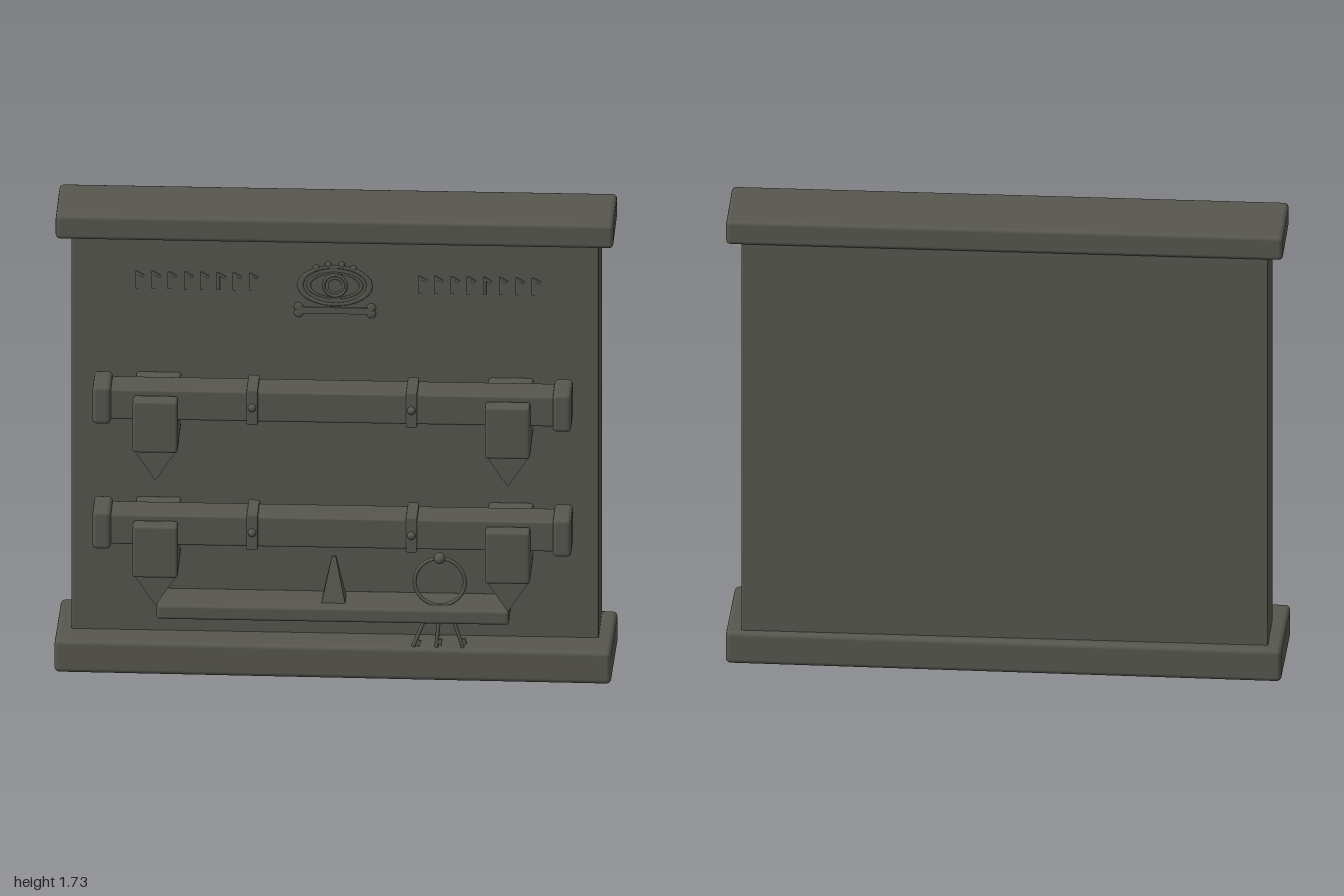
import * as THREE from 'three';
import { RoundedBoxGeometry } from 'three/addons/geometries/RoundedBoxGeometry.js';

export function createModel() {
  const root = new THREE.Group();
  root.name = 'wallRack';
  const stone = new THREE.MeshStandardMaterial({ color: 0x57574f });
  stone.name = 'dark grey stone';

  const add = (parent, name, geo, x = 0, y = 0, z = 0) => {
    const m = new THREE.Mesh(geo, stone);
    m.name = name;
    m.position.set(x, y, z);
    parent.add(m);
    return m;
  };
  // Chamfered box given by its min/max limits on each axis
  const block = (parent, name, x0, x1, y0, y1, z0, z1, r = 0.01) =>
    add(parent, name, new RoundedBoxGeometry(x1 - x0, y1 - y0, z1 - z0, 2, r),
      (x0 + x1) / 2, (y0 + y1) / 2, (z0 + z1) / 2);
  const group = (name) => {
    const g = new THREE.Group();
    g.name = name;
    root.add(g);
    return g;
  };

  // Wall slab, cap, and slightly skewed plinth
  block(root, 'wall', -0.943, 0.943, 0.1, 1.66, -0.25, 0, 0.006);
  block(root, 'cap', -0.997, 0.997, 1.637, 1.73, -0.265, 0.05, 0.016);
  const plinth = block(root, 'plinth', -0.996, 0.996, 0, 0.125, -0.283, 0.131, 0.018);
  plinth.rotation.y = -0.0115;

  // Wedge under each bracket
  const wedge = new THREE.Shape([
    new THREE.Vector2(-0.08, 0), new THREE.Vector2(0, -0.122), new THREE.Vector2(0.08, 0)]);
  const wedgeGeo = new THREE.ExtrudeGeometry(wedge, { depth: 0.245, bevelEnabled: false });

  // Two beams, each cradled in two U-shaped brackets
  for (const [name, y] of [['upperRack', 1.08], ['lowerRack', 0.6]]) {
    const rack = group(name);
    rack.position.y = y;
    block(rack, 'beam', -0.82, 0.82, -0.058, 0.057, 0.095, 0.23, 0.008);
    for (const s of [-1, 1]) {
      const e = s * 0.823, c = s * 0.285, b = s * 0.63;
      block(rack, 'endCap', e - 0.033, e + 0.033, -0.073, 0.073, 0.083, 0.248, 0.016);
      block(rack, 'collar', c - 0.02, c + 0.02, -0.067, 0.067, 0.085, 0.239, 0.005);
      add(rack, 'stud', new THREE.SphereGeometry(0.015, 12, 8), c, 0, 0.241);
      block(rack, 'bracketBack', b - 0.08, b + 0.08, -0.16, 0.038, -0.005, 0.09);
      block(rack, 'bracketFloor', b - 0.08, b + 0.08, -0.16, -0.056, 0, 0.294);
      block(rack, 'bracketLip', b - 0.08, b + 0.08, -0.16, 0.038, 0.23, 0.295);
      add(rack, 'bracketWedge', wedgeGeo, b, -0.159, 0.01);
    }
  }

  // Shelf with a small four-sided spike
  block(root, 'shelf', -0.63, 0.63, 0.232, 0.288, -0.005, 0.17, 0.012);
  const spike = new THREE.CylinderGeometry(0.01, 0.06, 0.166, 4, 1).toNonIndexed();
  spike.rotateY(Math.PI / 4);
  spike.computeVertexNormals();
  add(root, 'spike', spike, 0, 0.37, 0.08);

  // Key ring hanging over the shelf
  const keys = group('keyRing');
  keys.position.set(0.38, 0.375, 0.115);
  add(keys, 'ring', new THREE.TorusGeometry(0.09, 0.007, 8, 32));
  add(keys, 'ringBead', new THREE.SphereGeometry(0.021, 12, 10), 0, 0.09, 0);
  for (const [x0, x1] of [[-0.03, -0.095], [0.002, -0.012], [0.03, 0.082]]) {
    const a = new THREE.Vector3(x0, -0.085, 0), b = new THREE.Vector3(x1, -0.25, 0);
    const key = new THREE.Group();
    key.name = 'key';
    key.position.copy(a);
    key.rotation.z = Math.atan2(x1 - x0, a.y - b.y);
    keys.add(key);
    const len = a.distanceTo(b);
    add(key, 'keyShaft', new THREE.CylinderGeometry(0.007, 0.007, len, 8), 0, -len / 2, 0);
    add(key, 'keyBit', new THREE.BoxGeometry(0.018, 0.022, 0.01), 0.01, -len + 0.02, 0);
  }

  // Shallow eye relief: almond rim, iris, pupil and lash beads
  const relief = group('eyeRelief');
  relief.position.set(0, 1.46, 0.001);
  const rim = (name, rx, ry, t) => {
    const m = add(relief, name, new THREE.TorusGeometry(1, t, 6, 40));
    m.scale.set(rx, ry, 0.04);
  };
  rim('outerLid', 0.124, 0.072, 0.09);
  rim('innerLid', 0.094, 0.048, 0.08);
  rim('iris', 0.04, 0.04, 0.14);
  const pupil = add(relief, 'pupil', new THREE.CylinderGeometry(0.025, 0.025, 0.008, 20));
  pupil.rotation.x = Math.PI / 2;
  for (const x of [-0.066, -0.024, 0.024, 0.066]) {
    const bead = add(relief, 'lash', new THREE.SphereGeometry(0.012, 10, 8), x, 0.083 - x * x * 3.5, 0);
    bead.scale.z = 0.4;
  }

  // Bone-shaped bar below the eye
  add(relief, 'boneBar', new THREE.BoxGeometry(0.25, 0.024, 0.01), 0, -0.095, 0);
  for (const x of [-0.13, 0.13]) for (const y of [-0.106, -0.083]) {
    const knob = add(relief, 'boneKnob', new THREE.SphereGeometry(0.017, 10, 8), x, y, 0);
    knob.scale.z = 0.35;
  }

  // Rows of plain carved tally notches on either side
  const notches = group('notches');
  for (const start of [-0.708, 0.303]) for (let i = 0; i < 8; i++) {
    const x = start + i * 0.058;
    add(notches, 'notch', new THREE.BoxGeometry(0.012, 0.066, 0.008), x, 1.47, 0.001);
    const spur = add(notches, 'notchSpur', new THREE.BoxGeometry(0.026, 0.01, 0.008), x + 0.014, 1.49, 0.001);
    spur.rotation.z = -0.5;
  }
  return root;
}
